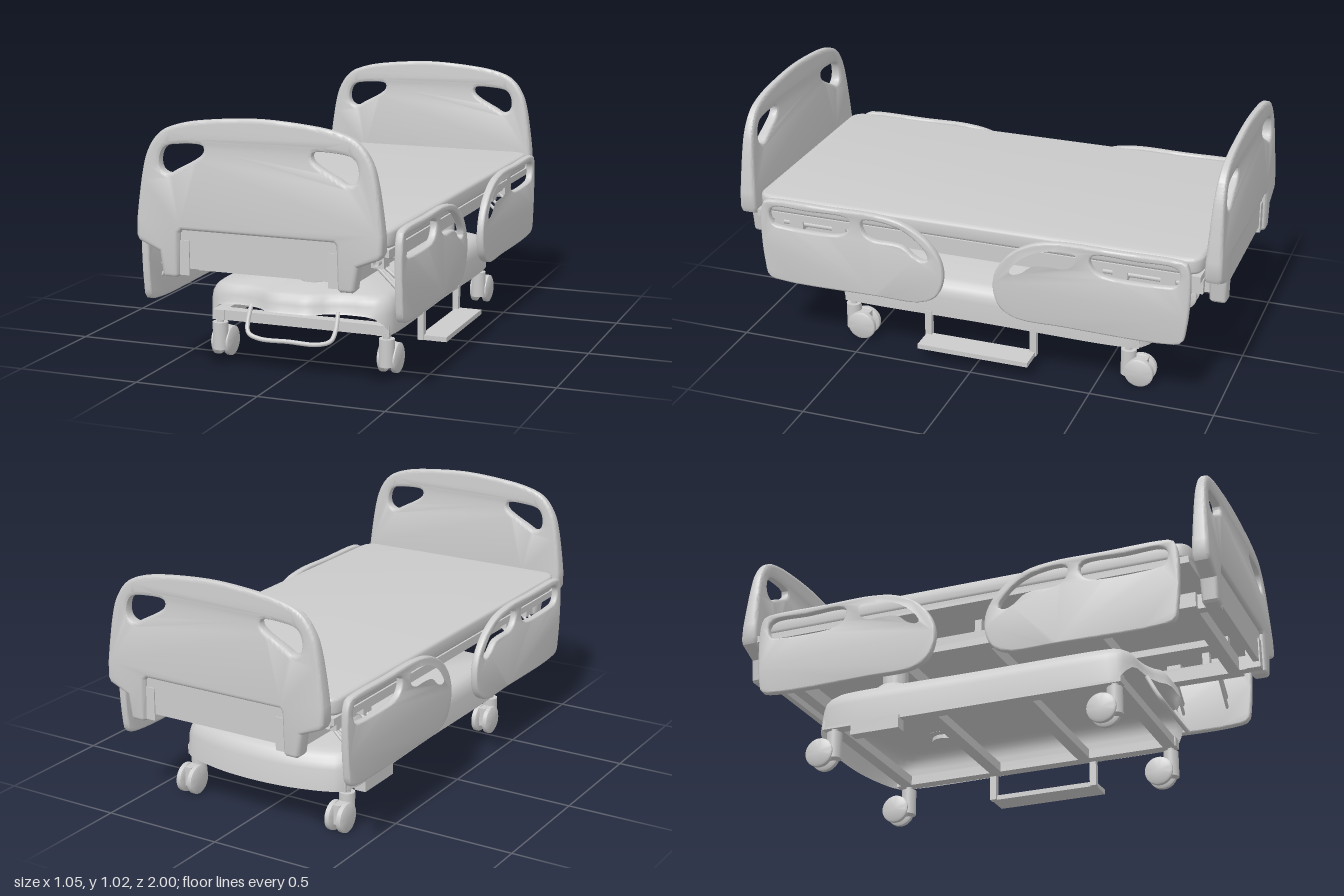
import * as THREE from 'three';
import { toCreasedNormals } from 'three/addons/utils/BufferGeometryUtils.js';

const mat = new THREE.MeshStandardMaterial({ color: 0xcccccc });
const matDouble = new THREE.MeshStandardMaterial({ color: 0xcccccc, side: THREE.DoubleSide });

function add(parent, name, geo, x = 0, y = 0, z = 0, material = mat) {
  const m = new THREE.Mesh(geo, material);
  m.name = name;
  m.position.set(x, y, z);
  parent.add(m);
  return m;
}
// box given by its low and high corner
function box(parent, name, x0, x1, y0, y1, z0, z1) {
  return add(parent, name, new THREE.BoxGeometry(x1 - x0, y1 - y0, z1 - z0),
    (x0 + x1) / 2, (y0 + y1) / 2, (z0 + z1) / 2);
}
function rod(parent, name, pts, r, segments = 1) {
  const path = pts.length === 2
    ? new THREE.LineCurve3(...pts.map(p => new THREE.Vector3(...p)))
    : new THREE.CatmullRomCurve3(pts.map(p => new THREE.Vector3(...p)), false, 'centripetal');
  return add(parent, name, new THREE.TubeGeometry(path, segments, r, 10, false), 0, 0, 0, matDouble);
}
// smooth closed loop through 2D points
function loop(pts, n) {
  const c = new THREE.CatmullRomCurve3(pts.map(p => new THREE.Vector3(p[0], p[1], 0)), true, 'centripetal');
  return c.getSpacedPoints(n).slice(0, n).map(p => new THREE.Vector2(p.x, p.y));
}
function extrude(shape, depth, bevel) {
  return new THREE.ExtrudeGeometry(shape, {
    depth: depth - 2 * bevel, bevelEnabled: true, bevelSize: bevel, bevelThickness: bevel,
    bevelOffset: -bevel, bevelSegments: 3, curveSegments: 10
  }).translate(0, 0, bevel);
}

// end board: tapered towards the top, two hand holes, notch at the bottom
function endBoard(parent, name, s) {
  const g = new THREE.Group();
  g.name = name;
  const crown = [[0.485, 0.63], [0.475, 0.72], [0.46, 0.82], [0.44, 0.89], [0.4, 0.95], [0.34, 0.985],
    [0.22, 1.01], [0, 1.025]];
  const arc = crown.concat(crown.slice(0, -1).reverse().map(([x, y]) => [-x, y]));
  const shape = new THREE.Shape();
  const foot = [[0.31, 0.59], [0.315, 0.43], [0.325, 0.42], [0.37, 0.42], [0.38, 0.43], [0.392, 0.515],
    [0.475, 0.55], [0.485, 0.57]];
  shape.moveTo(-0.3, 0.6);
  shape.lineTo(0.3, 0.6);
  foot.forEach(p => shape.lineTo(...p));
  shape.lineTo(...arc[0]);
  shape.splineThru(arc.slice(1).map(p => new THREE.Vector2(...p)));
  [...foot].reverse().forEach(([x, y]) => shape.lineTo(-x, y));
  const hole = [[0.215, 0.915], [0.3, 0.92], [0.37, 0.905], [0.39, 0.865], [0.385, 0.825], [0.355, 0.808],
    [0.32, 0.825], [0.215, 0.89]];
  for (const k of [1, -1]) shape.holes.push(new THREE.Path(loop(hole.map(([x, y]) => [k * x, y]), 40)));
  const geo = extrude(shape, 0.07, 0.016).translate(0, 0, -0.035);
  const p = geo.attributes.position;
  for (let i = 0; i < p.count; i++) {
    const t = Math.max(0, (p.getY(i) - 0.6) / 0.42);
    p.setZ(i, p.getZ(i) * (1 - 0.6 * t));
  }
  add(g, 'boardPanel', toCreasedNormals(geo, 0.6), 0, 0, s * 0.965);
  const lower = box(g, 'lowerPanel', -0.31, 0.31, 0.455, 0.61, -0.012, 0.012);
  lower.position.z = s * 0.968;
  for (const k of [1, -1]) {
    box(g, 'boardBracket', k * 0.295 - 0.02, k * 0.295 + 0.02, 0.43, 0.56, s * 0.955 - 0.03, s * 0.955 + 0.03);
    box(g, 'boardMount', k * 0.3 - 0.02, k * 0.3 + 0.02, 0.43, 0.49, s * 0.91 - 0.04, s * 0.91 + 0.04);
  }
  parent.add(g);
}

// side rail with two grip openings and its folding arms
function sideRail(parent, sx, sz) {
  const g = new THREE.Group();
  g.name = 'sideRail';
  const outline = [[0.83, 0.64], [0.6, 0.64], [0.38, 0.64], [0.27, 0.62], [0.17, 0.56], [0.115, 0.48], [0.105, 0.4],
    [0.135, 0.325], [0.2, 0.29], [0.4, 0.285], [0.8, 0.285], [0.865, 0.3], [0.88, 0.36], [0.89, 0.5],
    [0.885, 0.6], [0.87, 0.632]];
  const slot = [[0.51, 0.61], [0.68, 0.612], [0.83, 0.61], [0.85, 0.585], [0.835, 0.535], [0.8, 0.527],
    [0.56, 0.527], [0.515, 0.545], [0.495, 0.59]];
  const grip = [[0.44, 0.61], [0.34, 0.61], [0.26, 0.585], [0.19, 0.53], [0.165, 0.485], [0.185, 0.472],
    [0.225, 0.485], [0.27, 0.52], [0.32, 0.528], [0.4, 0.53], [0.435, 0.55], [0.45, 0.59]];
  const flip = a => a.map(([z, y]) => [sz * z, y]);
  const shape = new THREE.Shape(loop(flip(outline), 90));
  for (const h of [slot, grip]) shape.holes.push(new THREE.Path(loop(flip(h), 48)));
  const geo = extrude(shape, 0.03, 0.007).rotateY(-Math.PI / 2);
  add(g, 'railPanel', toCreasedNormals(geo, 0.6), sx > 0 ? 0.523 : -0.493);
  for (const z of [0.59, 0.78]) {
    const Z = sz * z;
    rod(g, 'upperArm', [[sx * 0.5, 0.41, Z], [sx * 0.4, 0.49, Z]], 0.007);
    rod(g, 'lowerArm', [[sx * 0.5, 0.365, Z], [sx * 0.38, 0.48, Z]], 0.007);
    box(g, 'armPivot', sx * 0.4 - 0.025, sx * 0.4 + 0.025, 0.475, 0.545, Z - 0.03, Z + 0.03);
  }
  rod(g, 'armAxle', [[sx * 0.405, 0.5, sz * 0.52], [sx * 0.405, 0.5, sz * 0.84]], 0.012);
  parent.add(g);
}

// twin-wheel swivel castor
function castor(parent, x, zStem, zWheel) {
  const g = new THREE.Group();
  g.name = 'castor';
  add(g, 'castorStem', new THREE.CylinderGeometry(0.014, 0.014, 0.07, 16), x, 0.155, zStem);
  add(g, 'castorHousing', new THREE.CylinderGeometry(0.031, 0.031, 0.11, 24), x, 0.09, zStem);
  box(g, 'castorFork', x - 0.016, x + 0.016, 0.035, 0.115, zWheel - 0.03, zStem);
  const tire = [[0, -0.014], [0.05, -0.014], [0.059, -0.009], [0.06, 0], [0.059, 0.009], [0.05, 0.014], [0, 0.014]]
    .map(p => new THREE.Vector2(...p));
  for (const k of [-1, 1]) {
    const geo = toCreasedNormals(new THREE.LatheGeometry(tire, 32), 0.6).rotateZ(Math.PI / 2);
    add(g, 'wheel', geo, x + k * 0.026, 0.06, zWheel);
  }
  parent.add(g);
}

// hollow base cover: rings of one plan outline, front lip raised
function baseCover() {
  const half = [[0, 0.71], [0.09, 0.705], [0.13, 0.675], [0.2, 0.65], [0.32, 0.635], [0.37, 0.6], [0.38, 0.54],
    [0.38, 0], [0.38, -0.62], [0.36, -0.67], [0.2, -0.73], [0, -0.75]];
  const N = 120, plan = loop(half.concat(half.slice(1, -1).reverse().map(([x, z]) => [-x, z])), N);
  const rings = [[0.165, 1, 1], [0.25, 1, 0.985], [0.275, 0.99, 0.975], [0.295, 0.965, 0.955], [0.31, 0.93, 0.93],
    [0.318, 0.87, 0.88], [0.318, 0, 0]];
  const pos = [], idx = [];
  rings.forEach(([y, kx, kz], r) => plan.forEach(p => {
    const lip = r === 0 ? 0.078 * THREE.MathUtils.smoothstep(p.y, 0.58, 0.65) : 0;
    pos.push(p.x * kx, y + lip, p.y * (p.y > 0 ? (1 + kz) / 2 * (kz ? 1 : 0) : kz));
  }));
  for (let r = 0; r < rings.length - 1; r++) for (let i = 0; i < N; i++) {
    const a = r * N + i, b = r * N + (i + 1) % N;
    idx.push(a, b, b + N, a, b + N, a + N);
  }
  const geo = new THREE.BufferGeometry();
  geo.setAttribute('position', new THREE.Float32BufferAttribute(pos, 3));
  geo.setIndex(idx);
  return toCreasedNormals(geo, 0.7);
}

export function createModel() {
  const bed = new THREE.Group();
  bed.name = 'adjustableBed';

  // mattress deck
  const w = 0.485, l = 0.92, r = 0.07, s = new THREE.Shape();
  s.moveTo(-w + r, -l).lineTo(w - r, -l).quadraticCurveTo(w, -l, w, -l + r).lineTo(w, l - r)
    .quadraticCurveTo(w, l, w - r, l).lineTo(-w + r, l).quadraticCurveTo(-w, l, -w, l - r)
    .lineTo(-w, -l + r).quadraticCurveTo(-w, -l, -w + r, -l);
  add(bed, 'mattress', toCreasedNormals(extrude(s, 0.068, 0.014).rotateX(-Math.PI / 2), 0.6), 0, 0.572, 0);
  box(bed, 'deckPlate', -w, w, 0.545, 0.573, -l, l);

  // upper frame
  for (const k of [-1, 1]) {
    box(bed, 'frameBeam', k * 0.32 - 0.025, k * 0.32 + 0.025, 0.43, 0.49, -0.9, 0.9);
    box(bed, 'deckRunner', k * 0.2 - 0.015, k * 0.2 + 0.015, 0.515, 0.545, -0.88, 0.88);
    box(bed, 'frameEnd', -0.345, 0.345, 0.43, 0.49, k * 0.87 - 0.025, k * 0.87 + 0.025);
    for (const z of [-0.75, -0.3, 0, 0.3, 0.75])
      box(bed, 'deckPost', k * 0.32 - 0.015, k * 0.32 + 0.015, 0.49, 0.545, z - 0.015, z + 0.015);
  }
  for (const z of [-0.4, 0, 0.44]) box(bed, 'crossBeam', -0.32, 0.32, 0.43, 0.485, z - 0.04, z + 0.04);

  for (const k of [1, -1]) {
    endBoard(bed, k > 0 ? 'footboard' : 'headboard', k);
    for (const sx of [1, -1]) sideRail(bed, sx, k);
  }

  // base: cover, lift columns, frame
  add(bed, 'baseCover', baseCover(), 0, 0, 0, matDouble);
  const column = [[0.056, 0.3], [0.056, 0.335], [0.052, 0.338], [0.052, 0.415], [0.056, 0.417], [0.056, 0.425],
    [0, 0.425]].map(p => new THREE.Vector2(...p));
  for (const [x, z] of [[-0.25, -0.4], [0.25, -0.4], [0, 0.44]]) {
    add(bed, 'liftColumn', toCreasedNormals(new THREE.LatheGeometry(column, 36), 0.6), x, 0, z);
    if (x) add(bed, 'columnCollar', new THREE.CylinderGeometry(0.07, 0.09, 0.026, 36), x, 0.33, z);
  }
  for (const k of [-1, 1]) {
    box(bed, 'baseBeam', k * 0.345 - 0.025, k * 0.345 + 0.025, 0.16, 0.2, -0.66, 0.6);
    castor(bed, k * 0.35, 0.57, 0.525);
    castor(bed, k * 0.35, -0.615, -0.665);
  }
  for (const z of [-0.615, -0.2, 0.2, 0.57]) box(bed, 'baseCrossBeam', -0.345, 0.345, 0.16, 0.2, z - 0.025, z + 0.025);
  box(bed, 'controlBox', -0.38, -0.33, 0.115, 0.18, -0.53, -0.32);

  // front foot bar and side step
  rod(bed, 'footBar', [[-0.18, 0.25, 0.645], [-0.182, 0.18, 0.68], [-0.17, 0.148, 0.698], [-0.12, 0.132, 0.707],
    [0, 0.132, 0.707], [0.12, 0.132, 0.707], [0.17, 0.148, 0.698], [0.182, 0.18, 0.68], [0.18, 0.25, 0.645]], 0.009, 60);
  box(bed, 'sideStep', 0.37, 0.48, 0.055, 0.075, -0.235, 0.235);
  for (const k of [-1, 1]) box(bed, 'stepPost', 0.36, 0.385, 0.055, 0.18, k * 0.225 - 0.014, k * 0.225 + 0.014);
  return bed;
}
